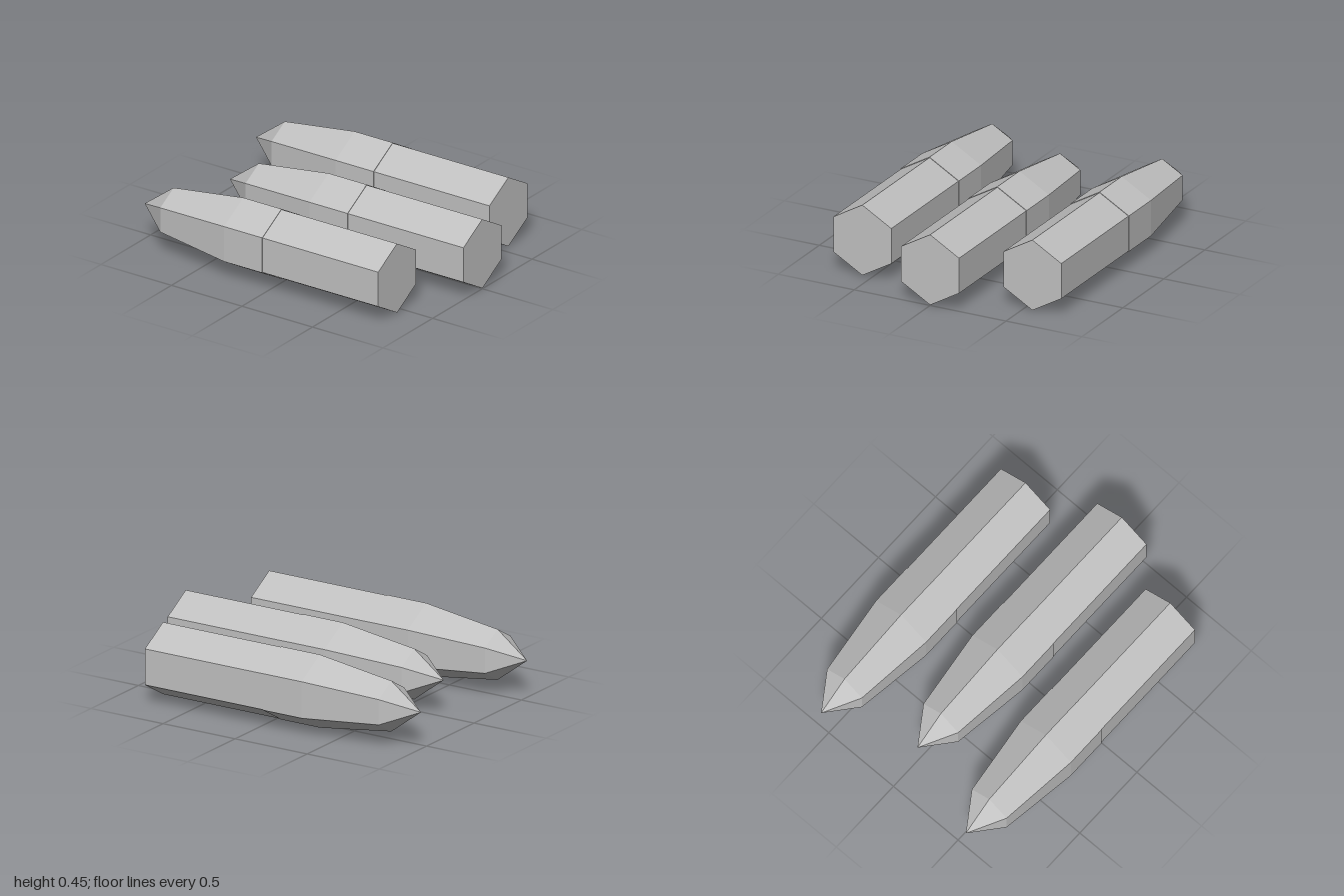
import * as THREE from 'three';

const SIDES = 6;
const CENTRE_Y = 0.2235;

// Faceted hexagonal section from zFront to zBack, with a corner pointing up
function hexSection(rFront, rBack, zFront, zBack, open) {
  const geo = new THREE.CylinderGeometry(rBack, rFront, zFront - zBack, SIDES, 1, open);
  geo.rotateX(-Math.PI / 2);
  geo.translate(0, 0, (zFront + zBack) / 2);
  const flat = geo.toNonIndexed();
  flat.computeVertexNormals();
  return flat;
}

export function createModel() {
  const model = new THREE.Group();
  model.name = 'hexagonalBullets';
  const grey = new THREE.MeshStandardMaterial({ color: 0xc0c0c0 });
  grey.name = 'light grey';

  // name, front radius, back radius, front z, back z, open ended
  const sections = [
    ['casing', 0.22, 0.22, 0.79, -0.03, false],
    ['collar', 0.2235, 0.2235, -0.03, -0.3, false],
    ['taper', 0.2235, 0.155, -0.3, -0.795, true],
    ['point', 0.155, 0, -0.795, -1, true],
  ];
  const parts = sections.map(([name, ...dims]) => [name, hexSection(...dims)]);

  // Three bullets, the middle one set forward
  for (const [name, x, z] of [['rightBullet', -0.56, 0], ['middleBullet', 0, 0.21], ['leftBullet', 0.56, 0]]) {
    const bullet = new THREE.Group();
    bullet.name = name;
    for (const [partName, geo] of parts) {
      const mesh = new THREE.Mesh(geo, grey);
      mesh.name = partName;
      bullet.add(mesh);
    }
    bullet.position.set(x, CENTRE_Y, z);
    model.add(bullet);
  }
  return model;
}
